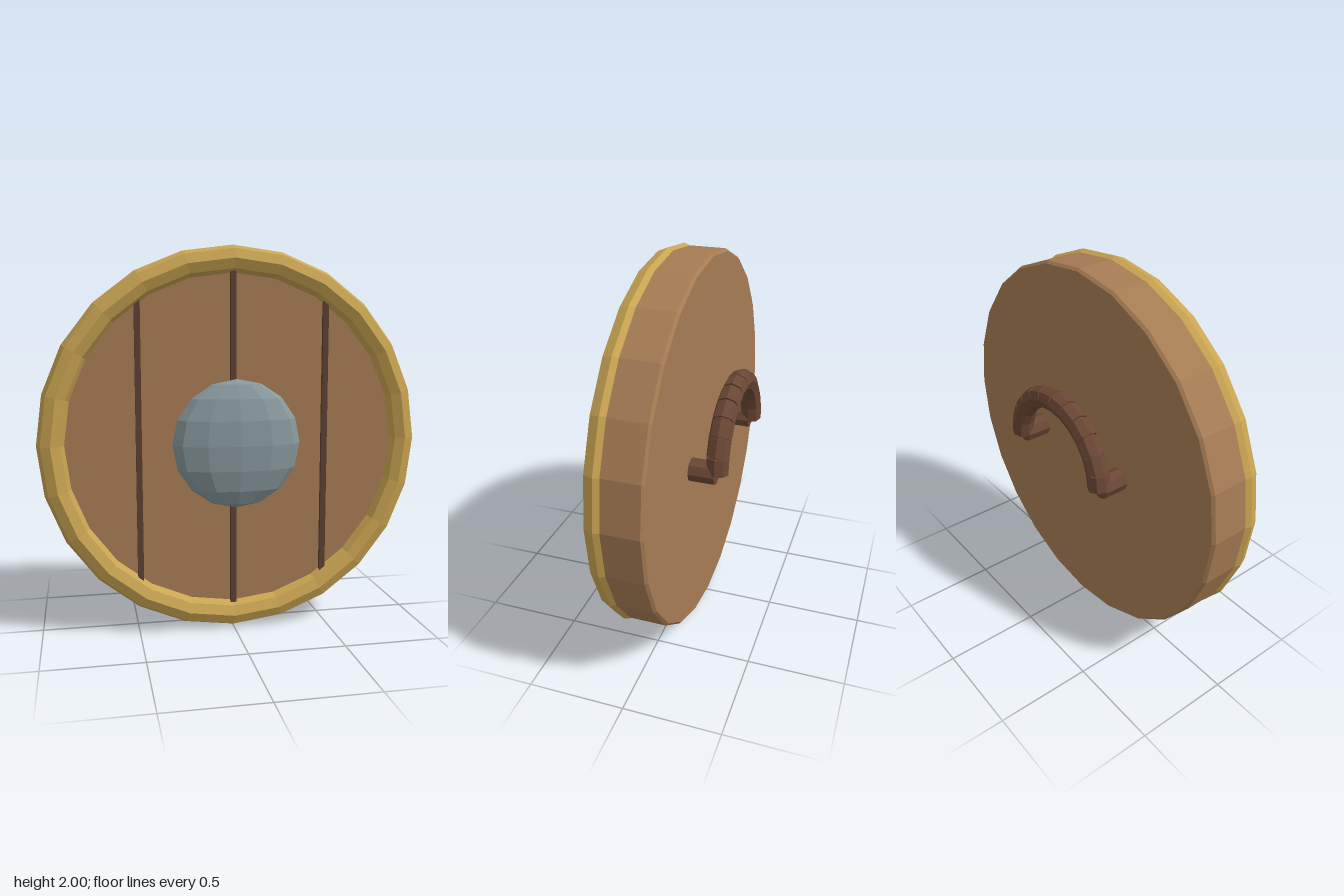
import * as THREE from 'three';

const flat = (color) => new THREE.MeshStandardMaterial({ color, flatShading: true });

export function createModel() {
  const shield = new THREE.Group();
  shield.name = 'roundShield';
  const wood = flat(0xa67b53), brass = flat(0xc9a452), steel = flat(0x87989c);
  const leather = flat(0x6b4735), groove = flat(0x5c4033);

  const add = (name, geometry, material, x = 0, y = 1, z = 0, parent = shield) => {
    const mesh = new THREE.Mesh(geometry, material);
    mesh.name = name;
    mesh.position.set(x, y, z);
    parent.add(mesh);
    return mesh;
  };

  // Wooden disc with a small bevel on its back edge
  const profile = [[0, -0.13], [0.975, -0.13], [0.988, -0.117], [0.988, 0.09], [0.975, 0.105], [0, 0.105]]
    .map(([r, h]) => new THREE.Vector2(r, h));
  add('woodenDisc', new THREE.LatheGeometry(profile, 24).rotateX(Math.PI / 2), wood);

  // Metal rim
  add('rim', new THREE.TorusGeometry(0.93, 0.07, 8, 24), brass, 0, 1, 0.1);

  // Dark strips between the planks, ending under the rim
  for (const x of [-0.49, 0, 0.49]) {
    const height = 2 * Math.sqrt(0.88 ** 2 - x * x);
    add('plankSeam', new THREE.BoxGeometry(0.03, height, 0.03), groove, x, 1, 0.11);
  }

  // Flattened central boss
  add('boss', new THREE.SphereGeometry(0.33, 12, 8).scale(1, 1, 0.11 / 0.33), steel, 0, 1, 0.21);

  // Handle: two posts and a wrapped arch
  const handle = new THREE.Group();
  handle.name = 'handle';
  handle.position.set(0, 1, 0);
  shield.add(handle);
  const arch = 0.333, archZ = -0.264, pieces = 12;
  for (const side of [-1, 1]) {
    add('handlePost', new THREE.CylinderGeometry(0.06, 0.06, 0.15, 8).rotateX(Math.PI / 2),
      leather, side * arch, 0, -0.187, handle);
  }
  add('handleCore', new THREE.TorusGeometry(arch, 0.05, 8, 24, Math.PI), leather, 0, 0, archZ, handle);
  for (let i = 0; i < pieces; i++) {
    const a = (i + 0.5) * Math.PI / pieces;
    const wrap = add('handleWrap', new THREE.CylinderGeometry(0.058, 0.058, 0.088, 8), leather,
      arch * Math.cos(a), arch * Math.sin(a), archZ, handle);
    wrap.rotation.z = a;
  }
  return shield;
}
